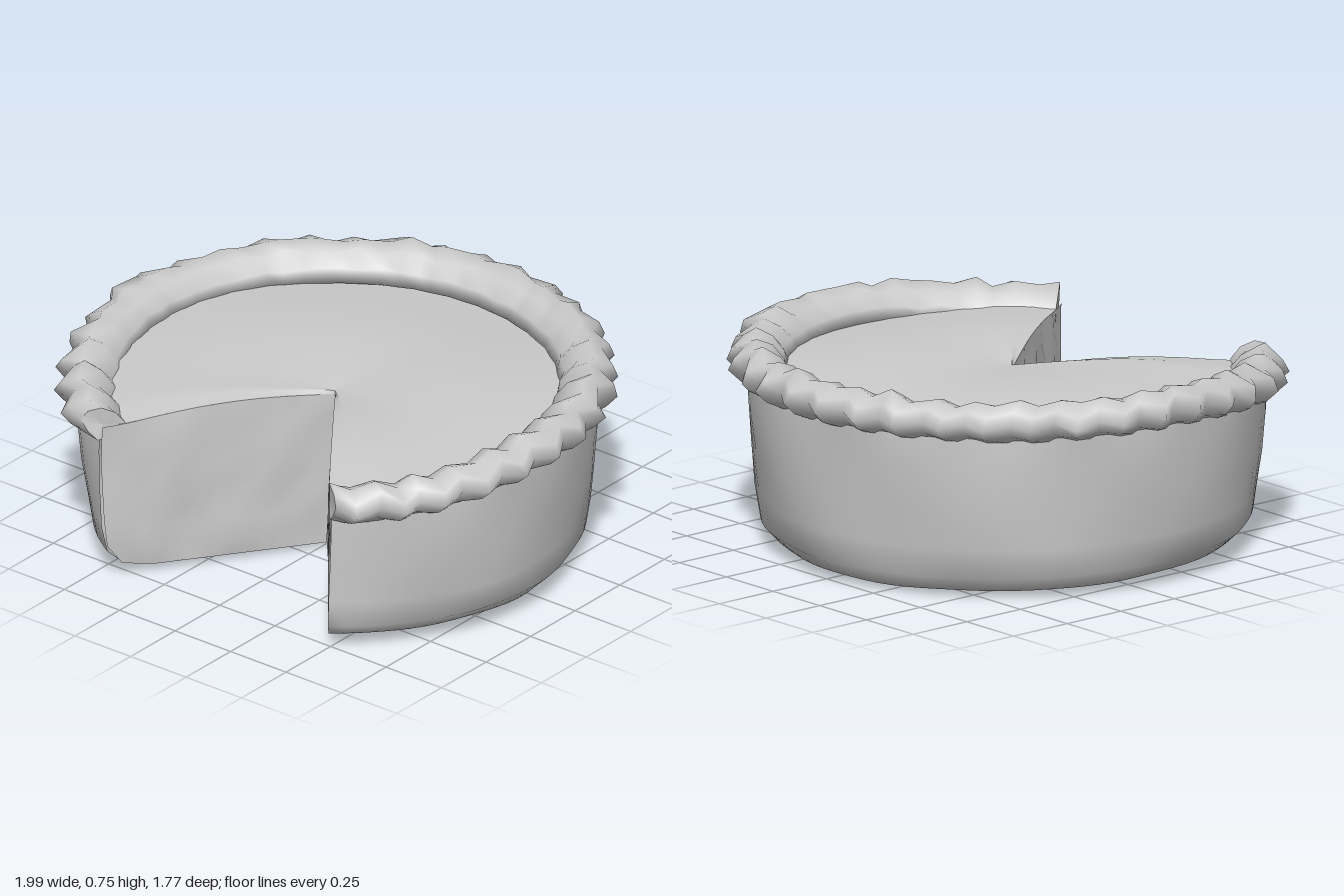
import * as THREE from 'three';

const START = THREE.MathUtils.degToRad(36.5); // right-hand edge of the missing slice
const END = THREE.MathUtils.degToRad(329);    // left-hand edge of the missing slice
const CENTRE = { x: 0.01, z: 0.1 };           // middle of the round tin shape
const APEX = { x: 0.03, z: 0.14 };            // inner corner of the missing slice
const CRIMPS = 30;

const material = new THREE.MeshStandardMaterial({ color: 0xcccccc, side: THREE.DoubleSide });
const { lerp, smoothstep } = THREE.MathUtils;

// repeatable value in -1..1
function jitter(i, j) {
  const s = Math.sin(i * 127.1 + j * 311.7 + 4.2) * 43758.5453;
  return (s - Math.floor(s)) * 2 - 1;
}

// 1 at the cut, fading to 0 at distance width along the sweep
function nearCut(t, from, width) {
  return 1 - smoothstep(Math.min(t, 1 - t), from, width);
}

// angle at t = 0..1 around the pie; the slice flares open at the rim
function angleAt(t, r) {
  const flare = Math.max(0, r - 0.88);
  return lerp(START + 0.4 * flare, END - 0.8 * flare, t);
}

// polar position; the axis drifts from APEX to CENTRE as the radius grows
function polar(angle, r, y) {
  const k = Math.min(r / 0.8, 1);
  return new THREE.Vector3(
    lerp(APEX.x, CENTRE.x, k) + r * Math.sin(angle),
    y,
    lerp(APEX.z, CENTRE.z, k) + r * Math.cos(angle));
}

// indexed surface from a rule at(i, j)
function gridMesh(name, nu, nv, at, flip = false) {
  const pos = [], index = [];
  for (let i = 0; i <= nu; i++)
    for (let j = 0; j <= nv; j++) pos.push(...at(i, j).toArray());
  for (let i = 0; i < nu; i++)
    for (let j = 0; j < nv; j++) {
      const a = i * (nv + 1) + j, b = a + nv + 1;
      if (flip) index.push(a, a + 1, b, b, a + 1, b + 1);
      else index.push(a, b, a + 1, b, b + 1, a + 1);
    }
  const geo = new THREE.BufferGeometry();
  geo.setAttribute('position', new THREE.Float32BufferAttribute(pos, 3));
  geo.setIndex(index);
  geo.computeVertexNormals();
  const mesh = new THREE.Mesh(geo, material);
  mesh.name = name;
  return mesh;
}

// outline of the base crust: [radius, height] from the axis out and up
const SHELL = [[0, 0.016], [0.45, 0.016], [0.7, 0.02], [0.81, 0.038], [0.868, 0.095],
  [0.886, 0.2], [0.902, 0.35], [0.915, 0.5], [0.917, 0.61]];

// the wall leans in towards its top next to the cut
function pullIn(t, y) {
  return 0.035 * nearCut(t, 0, 0.07) * y / 0.6;
}

// the base sits slightly lower at the back
function tilt(z, y) {
  return 0.028 * z * Math.max(0, 1 - y / 0.3);
}

function shellPoint(t, j) {
  const [r, y] = SHELL[j];
  const a = angleAt(t, r);
  const lump = j > 2 ? 0.005 * Math.sin(a * 7 + j) + 0.003 * Math.sin(a * 13 - j * 2) - pullIn(t, y) : 0;
  const p = polar(a, r + lump, y);
  p.y += tilt(p.z, y);
  return p;
}

// radius of the outer wall at a height
function wallRadius(y) {
  const j = SHELL.findIndex((p, n) => n > 3 && y <= p[1]);
  const [r0, y0] = SHELL[j - 1], [r1, y1] = SHELL[j];
  return lerp(r0, r1, Math.max(0, (y - y0) / (y1 - y0)));
}

// gently uneven lid: a low ring-shaped swell, sinking at the inner corner and the cut
function lidHeight(t, r) {
  const k = Math.min(r / 0.8, 1), a = angleAt(t, r);
  return 0.617 + 0.028 * Math.sin(k * Math.PI) + 0.01 * k * Math.sin(a * 3 + 1)
    + 0.012 * r * Math.cos(a) - 0.014 * nearCut(t, 0, 0.04);
}

// cross-section of the crimped rim: [radius, height, crimp depth, height wave]
const RIM = [[0.9, 0.575, 0.003, 0], [0.94, 0.602, 0.018, 0.007], [0.972, 0.645, 0.03, 0.012],
  [0.952, 0.69, 0.03, 0.016], [0.895, 0.722, 0.014, 0.017], [0.835, 0.697, 0.012, 0.012],
  [0.79, 0.648, 0.008, 0.006], [0.775, 0.6, 0.002, 0]];

// centre of the rim's end at the cut
function rimMiddle(t) {
  return polar(angleAt(t, 0.9), 0.875, 0.61);
}

function rimPoint(i, j, steps) {
  const k = j % RIM.length;
  const [r, y, depth, rise] = RIM[k];
  const t = i / steps;
  const isEnd = i === 0 || i === steps;
  const wave = i % 2 ? 1 : -1;
  const sag = 0.05 * nearCut(t, 0.04, 0.2);   // droop by the cut
  const noise = jitter(i, k);
  const angle = angleAt(t, r) + (isEnd ? 0 : 0.006 * (k - 3) + 0.012 * jitter(i, 9));
  const p = polar(angle, r + depth * (wave * 0.75 + noise * 0.35),
    y + 0.015 - sag + rise * (-wave * 0.6 + noise * 0.7));
  return isEnd ? p.lerp(rimMiddle(t), 0.15) : p;
}

function createModel() {
  const pie = new THREE.Group();
  pie.name = 'pie';

  // base and outer wall
  const around = 72;
  pie.add(gridMesh('baseCrust', around, SHELL.length - 1, (i, j) => shellPoint(i / around, j)));

  // lid inside the rim
  pie.add(gridMesh('lid', around, 9, (i, j) => {
    const t = i / around, r = 0.82 * (1 - j / 9);
    return polar(angleAt(t, r), r, lidHeight(t, r));
  }));

  // crimped rim
  const steps = CRIMPS * 2;
  pie.add(gridMesh('crimpedRim', steps, RIM.length, (i, j) => rimPoint(i, j, steps)));

  for (const [side, t, flip] of [['right', 0, false], ['left', 1, true]]) {
    // end of the rim at the cut
    pie.add(gridMesh(side + 'RimEnd', 1, RIM.length,
      (u, j) => (u ? rimPoint(t * steps, j, steps) : rimMiddle(t)), flip));

    // lumpy cut face, pinned along its border
    const nu = 12, nv = 8;
    pie.add(gridMesh(side + 'CutFace', nu, nv, (u, v) => {
      const h = v / nv, height = lerp(0.03, 0.61, h);
      const r = (wallRadius(height) - pullIn(t, height)) * u / nu;
      const angle = angleAt(t, r);
      const bottom = 0.016 + 0.022 * Math.max(0, (r - 0.7) / 0.11);
      const p = polar(angle, r, lerp(bottom, lidHeight(t, r), h));
      p.y += tilt(p.z, p.y);
      const inner = u > 0 && u < nu && v > 0 && v < nv ? 1 : 0;
      const bulge = inner * (0.006 * t + 0.006 * Math.sin(u * 1.1 + t * 2) * Math.sin(v * 0.9)
        + 0.006 * jitter(u, v + t * 60));
      const sign = flip ? 1 : -1;
      p.x += sign * Math.cos(angle) * bulge;
      p.z -= sign * Math.sin(angle) * bulge;
      return p;
    }, flip));
  }
  return pie;
}

export { createModel };
